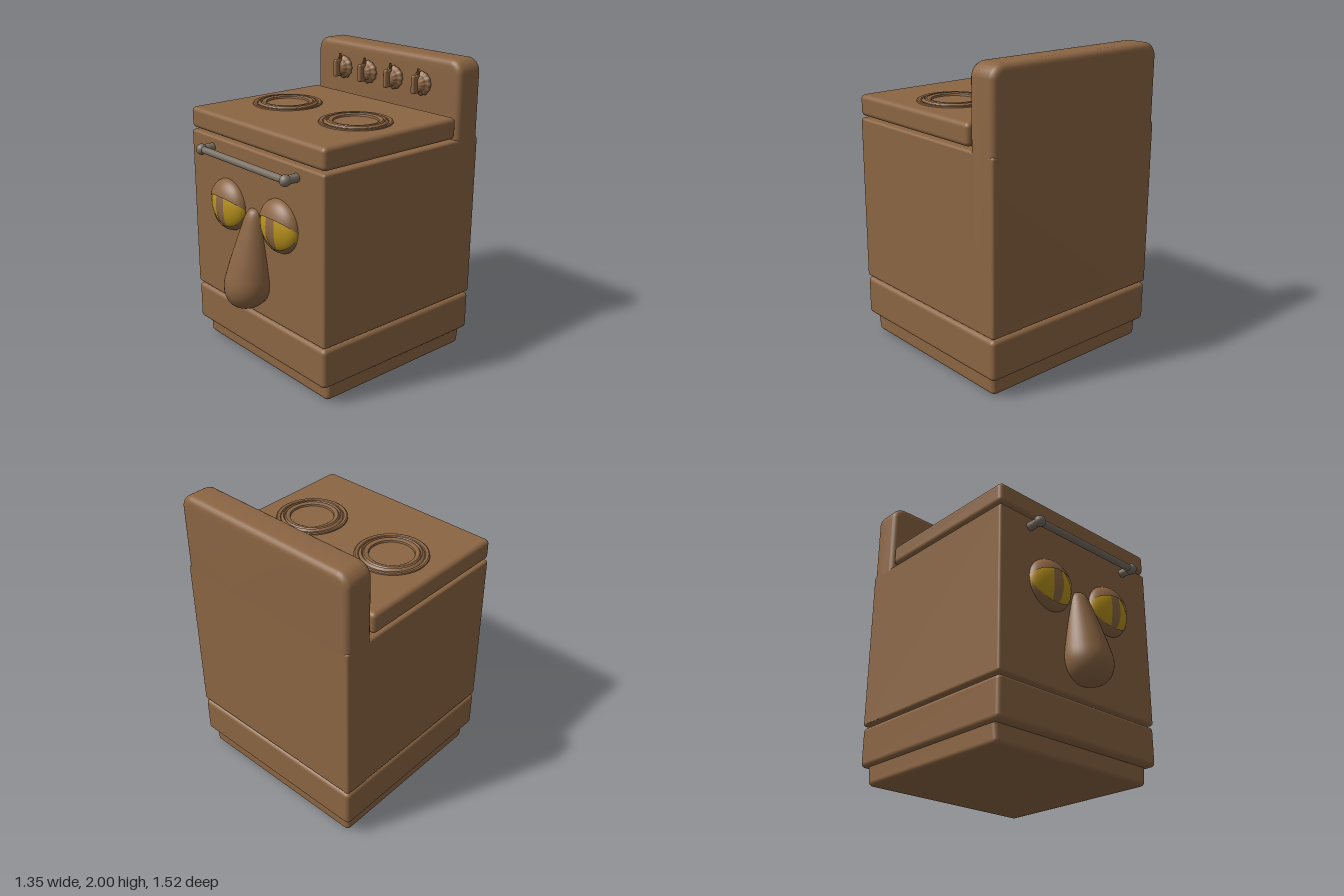
import * as THREE from 'three';
import { toCreasedNormals } from 'three/addons/utils/BufferGeometryUtils.js';
import { RoundedBoxGeometry } from 'three/addons/geometries/RoundedBoxGeometry.js';

function material(name, color, side = THREE.FrontSide) {
  const m = new THREE.MeshStandardMaterial({ color, side });
  m.name = name;
  return m;
}

export function createModel() {
  const brown = material('brown enamel', 0x8b6543, THREE.DoubleSide);
  const yellow = material('eye yellow', 0xb8921c);
  const grey = material('handle grey', 0x7a7063);

  const model = new THREE.Group();
  model.name = 'stove';

  function add(name, geometry, mat, x = 0, y = 0, z = 0, parent = model) {
    const mesh = new THREE.Mesh(geometry, mat);
    mesh.name = name;
    mesh.position.set(x, y, z);
    parent.add(mesh);
    return mesh;
  }

  // Rounded slab given by half width and its y and z ranges
  function slab(name, halfWidth, y0, y1, z0, z1, radius) {
    const g = new RoundedBoxGeometry(halfWidth * 2, y1 - y0, z1 - z0, 4, radius);
    return add(name, g, brown, 0, (y0 + y1) / 2, (z0 + z1) / 2);
  }

  const profile = (pairs) => pairs.map(([r, y]) => new THREE.Vector2(r, y));

  // Cabinet
  const base = slab('base', 0.64, 0.005, 0.16, -0.72, 0.485, 0.03);
  const bp = base.geometry.attributes.position;
  for (let i = 0; i < bp.count; i++) { // slight taper to the floor
    const k = 1 + bp.getY(i) * 0.14;
    bp.setX(i, bp.getX(i) * k);
  }
  slab('drawer', 0.673, 0.125, 0.39, -0.76, 0.545, 0.03);
  slab('ovenBody', 0.673, 0.4, 1.497, -0.76, 0.545, 0.018);
  slab('cooktop', 0.673, 1.51, 1.65, -0.545, 0.545, 0.03);

  // Back panel with rounded top corners and soft edges
  const bevel = 0.04, w = 0.673 - bevel, bottom = 0.41 + bevel, top = 2 - bevel, r = 0.05;
  const panel = new THREE.Shape();
  panel.moveTo(-w, bottom);
  panel.lineTo(w, bottom);
  panel.lineTo(w, top - r);
  panel.absarc(w - r, top - r, r, 0, Math.PI / 2, false);
  panel.lineTo(-w + r, top);
  panel.absarc(-w + r, top - r, r, Math.PI / 2, Math.PI, false);
  panel.closePath();
  const panelGeometry = new THREE.ExtrudeGeometry(panel, {
    depth: 0.205 - bevel * 2, bevelThickness: bevel, bevelSize: bevel, bevelSegments: 5, curveSegments: 8,
  });
  add('backPanel', toCreasedNormals(panelGeometry, 0.6), brown, 0, 0, -0.76 + bevel);

  // Burners
  const burnerProfile = profile([
    [0.232, -0.004], [0.23, 0.008], [0.222, 0.012], [0.205, 0.009], [0.2, 0.004],
    [0.193, 0.012], [0.184, 0.017], [0.176, 0.008], [0.168, 0.017],
    [0.152, 0.017], [0.142, 0.012], [0.138, -0.004],
  ]);
  for (const x of [-0.335, 0.335]) {
    add('burner', toCreasedNormals(new THREE.LatheGeometry(burnerProfile, 48), 0.5), brown, x, 1.65, 0);
  }

  // Knobs with fluted rims, a grip ridge and a pointer
  const knobProfile = profile([
    [0, 0.068], [0.03, 0.068], [0.048, 0.058], [0.055, 0.04], [0.058, 0.032],
    [0.073, 0.028], [0.077, 0.015], [0.07, 0],
  ].reverse());
  const knobGeometry = new THREE.LatheGeometry(knobProfile, 48);
  const kp = knobGeometry.attributes.position;
  for (let i = 0; i < kp.count; i++) {
    const a = Math.atan2(kp.getZ(i), kp.getX(i));
    const k = 1 + 0.05 * Math.cos(a * 12);
    kp.setXYZ(i, kp.getX(i) * k, kp.getY(i), kp.getZ(i) * k);
  }
  knobGeometry.rotateX(Math.PI / 2);
  knobGeometry.computeVertexNormals();
  for (const x of [-0.38, -0.135, 0.113, 0.365]) {
    const knob = new THREE.Group();
    knob.name = 'knob';
    knob.position.set(x, 1.82, -0.557);
    model.add(knob);
    add('knobDial', knobGeometry, brown, 0, 0, 0, knob);
    add('knobGrip', new RoundedBoxGeometry(0.03, 0.12, 0.06, 2, 0.012), brown, 0, 0, 0.075, knob);
    add('knobPointer', new RoundedBoxGeometry(0.012, 0.06, 0.02, 2, 0.005), brown, 0, 0.07, 0.05, knob);
  }

  // Door handle
  const bar = add('handleBar', new THREE.CylinderGeometry(0.023, 0.023, 0.86, 20), grey, 0, 1.425, 0.63);
  bar.rotation.z = Math.PI / 2;
  for (const x of [-0.43, 0.43]) {
    add('handleEnd', new THREE.SphereGeometry(0.036, 20, 14), grey, x, 1.425, 0.632);
    const post = add('handlePost', new THREE.CylinderGeometry(0.028, 0.028, 0.1, 20), grey, x, 1.425, 0.585);
    post.rotation.x = Math.PI / 2;
  }

  // Eyes: flattened ball, slit pupil and two lids hinged at the eye corners
  function lid(from, to) {
    const g = new THREE.SphereGeometry(1, 24, 32, Math.PI / 2 + from, to - from);
    return g.rotateZ(Math.PI / 2);
  }
  for (const side of [-1, 1]) {
    const eye = new THREE.Group();
    eye.name = side > 0 ? 'leftEye' : 'rightEye';
    eye.position.set(side * 0.263, 1.075, 0.54);
    model.add(eye);
    add('eyeball', new THREE.SphereGeometry(1, 40, 28), yellow, 0, 0, 0, eye).scale.set(0.174, 0.162, 0.085);
    const slit = new THREE.SphereGeometry(1, 8, 28, Math.PI / 2 - 0.23, 0.46);
    add('pupil', slit, brown, 0, 0, 0, eye).scale.set(0.177, 0.164, 0.088);
    add('upperLid', lid(0.44, 1.9), brown, 0, 0, 0, eye).scale.set(0.176, 0.175, 0.102);
    add('lowerLid', lid(-1.9, -0.88), brown, 0, 0, 0, eye).scale.set(0.172, 0.17, 0.096);
  }

  // Nose: teardrop leaning out from the door
  const noseCurve = new THREE.SplineCurve(profile([
    [0, 0.475], [0.08, 0.49], [0.135, 0.545], [0.157, 0.625], [0.143, 0.73],
    [0.112, 0.87], [0.08, 1.0], [0.058, 1.08], [0.035, 1.112], [0, 1.122],
  ]));
  const nosePoints = noseCurve.getPoints(40);
  nosePoints.forEach((p) => { p.x = Math.max(p.x, 0); });
  const nose = new THREE.LatheGeometry(nosePoints, 36);
  const np = nose.attributes.position;
  for (let i = 0; i < np.count; i++) np.setZ(i, np.getZ(i) + 0.605 - (np.getY(i) - 0.6) * 0.14);
  add('nose', nose, brown);

  return model;
}
